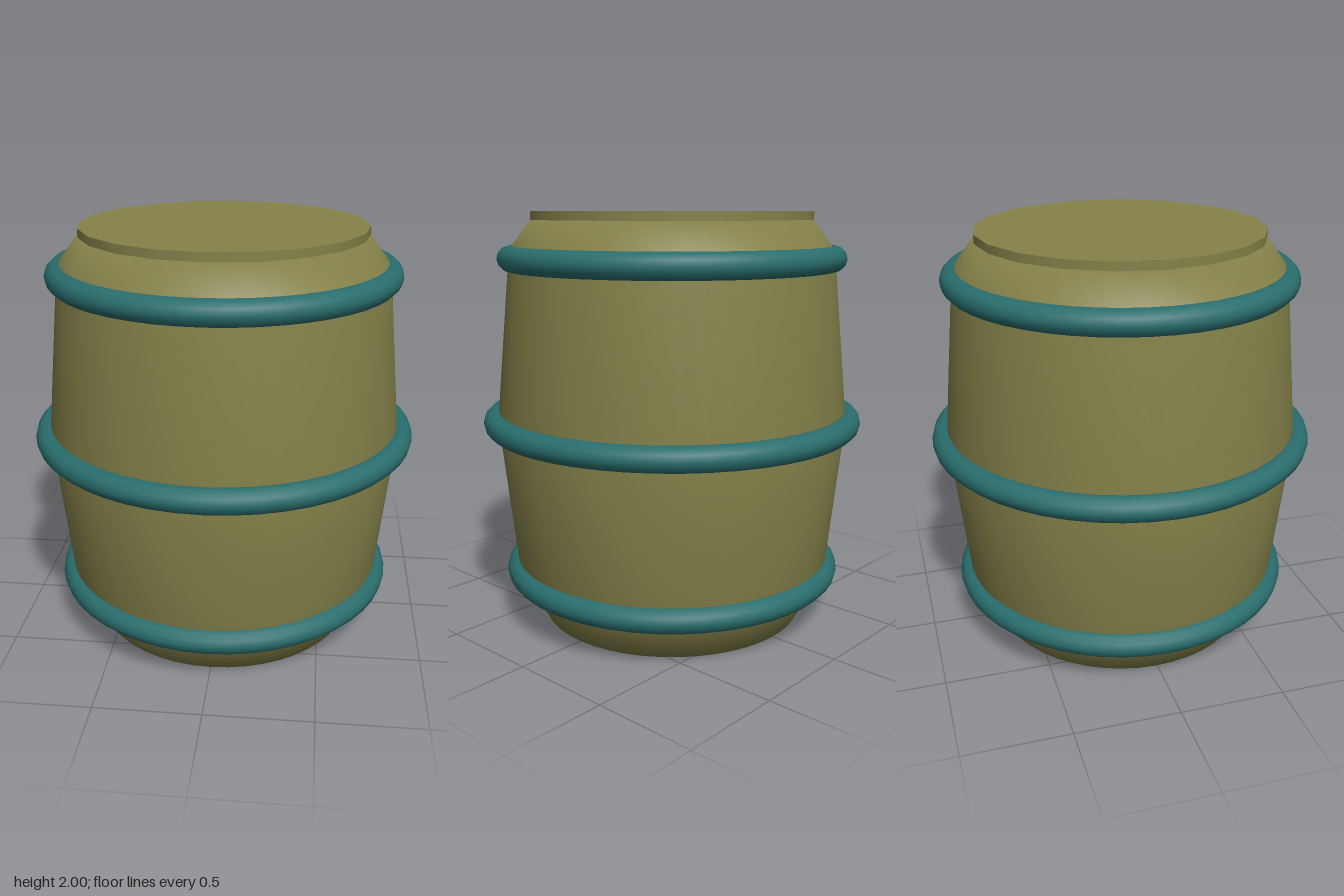
import * as THREE from 'three';

export function createModel() {
  const barrel = new THREE.Group();
  barrel.name = 'barrel';
  const wood = new THREE.MeshStandardMaterial({ color: 0x85824a });
  const hoopPaint = new THREE.MeshStandardMaterial({ color: 0x2a6e6e });

  const add = (name, geometry, material, y = 0) => {
    const mesh = new THREE.Mesh(geometry, material);
    mesh.name = name;
    mesh.position.y = y;
    barrel.add(mesh);
  };

  // Smooth bulging body, closed at both ends
  const profile = [
    [0, 0], [0.65, 0], [0.78, 0.24], [0.86, 1.0], [0.785, 1.78],
    [0.775, 1.83], [0.675, 1.96], [0, 1.96],
  ].map(([r, y]) => new THREE.Vector2(r, y));
  add('body', new THREE.LatheGeometry(profile, 48), wood);

  // Thin faceted lid
  add('lid', new THREE.CylinderGeometry(0.678, 0.678, 0.04, 20), wood, 1.98);

  // Three rounded hoops
  const hoops = [['lowerHoop', 0.78, 0.24], ['middleHoop', 0.87, 0.995], ['upperHoop', 0.78, 1.78]];
  for (const [name, radius, y] of hoops) {
    add(name, new THREE.TorusGeometry(radius, 0.06, 12, 48).rotateX(Math.PI / 2), hoopPaint, y);
  }

  return barrel;
}
